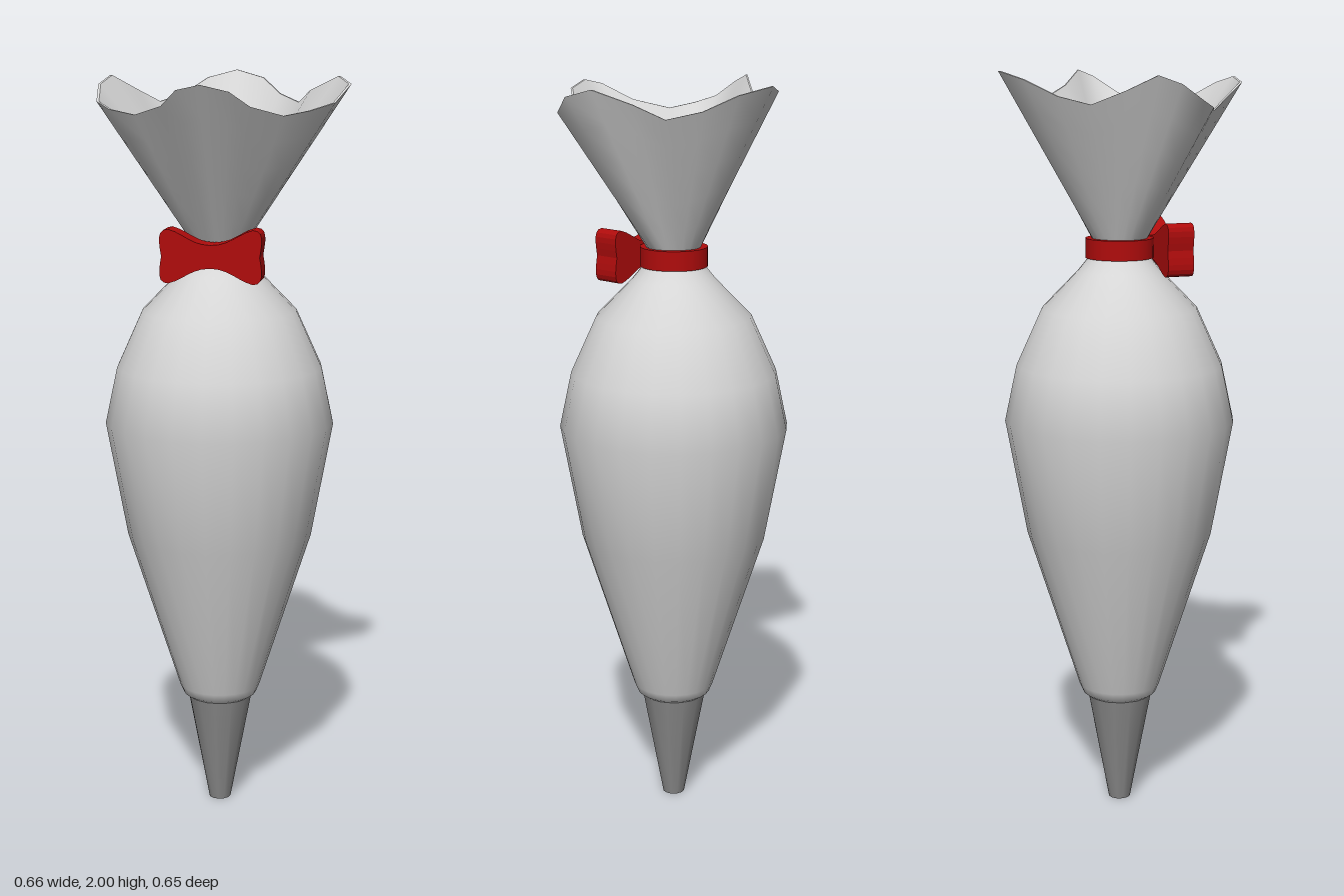
import * as THREE from 'three';

const SIDES = 24, CX = -0.02;

// Grid of quads through closed rings of points; faces point outward for rising rings
function loftRings(rings) {
  const n = rings[0].length, pos = [], index = [];
  rings.forEach(r => r.forEach(p => pos.push(p.x, p.y, p.z)));
  for (let j = 0; j < rings.length - 1; j++) {
    for (let i = 0; i < n; i++) {
      const k = (i + 1) % n;
      const a = j * n + i, b = j * n + k, c = b + n, d = a + n;
      index.push(a, d, c, a, c, b);
    }
  }
  const g = new THREE.BufferGeometry();
  g.setAttribute('position', new THREE.Float32BufferAttribute(pos, 3));
  g.setIndex(index);
  g.computeVertexNormals();
  return g;
}

// Rings blended linearly from one ring to another
function blend(from, to, steps) {
  return Array.from({ length: steps + 1 }, (_, s) =>
    from.map((p, i) => p.clone().lerp(to[i], s / steps)));
}

function circle(radius, y) {
  return Array.from({ length: SIDES }, (_, i) => {
    const a = i / SIDES * Math.PI * 2;
    return new THREE.Vector3(CX + Math.sin(a) * radius, y, -Math.cos(a) * radius);
  });
}

export function createModel() {
  const group = new THREE.Group();
  const cloth = new THREE.MeshStandardMaterial({ color: 0xd6d6d6 });
  cloth.name = 'bagCloth';
  const metal = new THREE.MeshStandardMaterial({ color: 0x8c8c8c });
  metal.name = 'nozzleMetal';
  const red = new THREE.MeshStandardMaterial({ color: 0xb00c0c });
  red.name = 'ribbonRed';

  const add = (name, geometry, material, x = 0, y = 0, z = 0) => {
    const m = new THREE.Mesh(geometry, material);
    m.name = name;
    m.position.set(x, y, z);
    group.add(m);
    return m;
  };
  const lathe = (pts, sides) =>
    new THREE.LatheGeometry(pts.map(p => new THREE.Vector2(...p)), sides);

  // Filled bag body
  add('bagBody', lathe([
    [0.085, 0.302], [0.1, 0.312], [0.11, 0.335], [0.25, 0.77], [0.307, 1.08],
    [0.275, 1.23], [0.207, 1.38], [0.11, 1.48], [0.078, 1.52], [0.06, 1.55],
  ], SIDES), cloth, CX);
  const base = add('bagBase', new THREE.CircleGeometry(0.085, SIDES), cloth, CX, 0.302, 0);
  base.rotation.x = Math.PI / 2;

  // Wavy collar: rim points [x, y, z], clockwise from the back
  const rim = [
    [-0.02, 2.0, -0.328], [0.06, 1.98, -0.285], [0.115, 1.94, -0.215], [0.175, 1.92, -0.145],
    [0.215, 1.955, -0.07], [0.295, 1.993, -0.005], [0.328, 1.975, 0.05], [0.293, 1.93, 0.113],
    [0.235, 1.912, 0.15], [0.172, 1.9, 0.185], [0.095, 1.925, 0.25], [0.05, 1.963, 0.305],
    [-0.02, 1.98, 0.325], [-0.08, 1.967, 0.32], [-0.13, 1.925, 0.25], [-0.21, 1.9, 0.185],
    [-0.28, 1.912, 0.155], [-0.322, 1.93, 0.113], [-0.33, 1.972, 0.05], [-0.31, 1.993, -0.005],
    [-0.255, 1.955, -0.07], [-0.205, 1.92, -0.145], [-0.15, 1.94, -0.215], [-0.095, 1.98, -0.285],
  ].map(p => new THREE.Vector3(...p));
  const innerRim = rim.map(p => new THREE.Vector3(CX + (p.x - CX) * 0.98, p.y, p.z * 0.98));
  add('collarOutside', loftRings(blend(circle(0.062, 1.545), rim, 5)), cloth);
  add('collarLip', loftRings([rim, innerRim]), cloth);
  add('collarInside', loftRings(blend(innerRim, circle(0.002, 1.56), 5)), cloth);

  // Metal nozzle with an open tip
  add('nozzle', lathe([[0.03, 0], [0.088, 0.305]], 12), metal, CX);
  add('nozzleInside', lathe([[0.08, 0.3], [0.024, 0]], 12), metal, CX);
  const tip = add('nozzleTip', new THREE.RingGeometry(0.024, 0.03, 12), metal, CX, 0, 0);
  tip.rotation.x = Math.PI / 2;

  // Ribbon band around the neck
  add('ribbonBand', new THREE.CylinderGeometry(0.09, 0.09, 0.052, SIDES), red, CX, 1.54, 0);

  // Bow: right half drawn top to bottom, then mirrored
  const s = new THREE.Shape();
  s.moveTo(0, 0.03);
  s.bezierCurveTo(0.05, 0.03, 0.07, 0.06, 0.11, 0.07);
  s.bezierCurveTo(0.14, 0.07, 0.135, 0.04, 0.128, 0);
  s.bezierCurveTo(0.135, -0.04, 0.14, -0.07, 0.11, -0.07);
  s.bezierCurveTo(0.07, -0.06, 0.05, -0.03, 0, -0.03);
  const half = s.getPoints(6);
  const mirrored = half.slice(1, -1).reverse().map(p => new THREE.Vector2(-p.x, p.y));
  add('bow', new THREE.ExtrudeGeometry(new THREE.Shape([...half, ...mirrored]),
    { depth: 0.072, bevelEnabled: false }), red, CX, 1.54, 0.086);

  return group;
}
